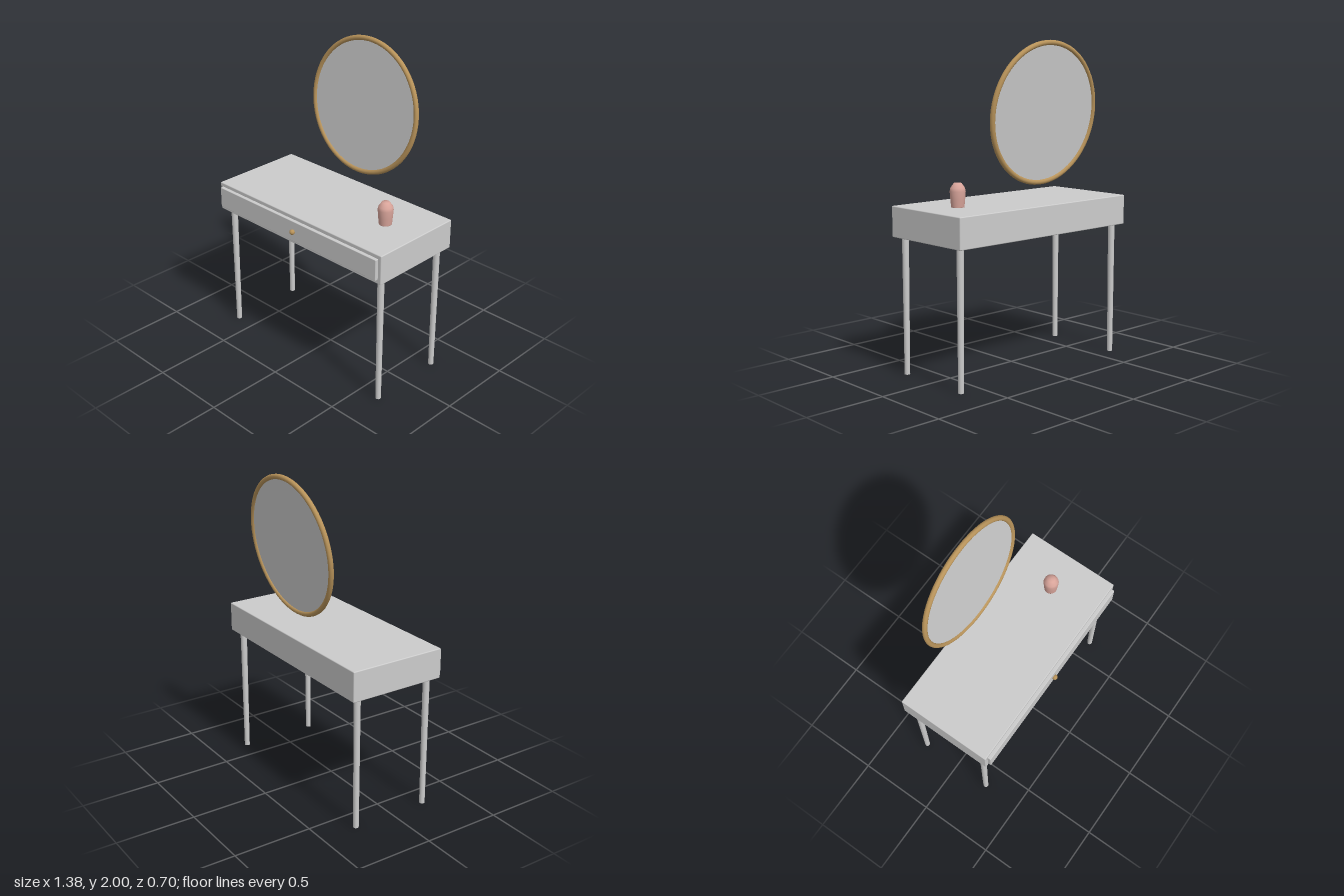
import * as THREE from 'three';
import { RoundedBoxGeometry } from 'three/addons/geometries/RoundedBoxGeometry.js';

const grey = new THREE.MeshStandardMaterial({ color: 0xcccccc });
const brass = new THREE.MeshStandardMaterial({ color: 0xb8935a });
const blush = new THREE.MeshStandardMaterial({ color: 0xd8a49a });

const BODY_Z = -0.01;      // centre of the table in depth
const BODY_BOTTOM = 0.84;
const BODY_TOP = 1.028;

function add(parent, name, geometry, material, x = 0, y = 0, z = 0) {
  const mesh = new THREE.Mesh(geometry, material);
  mesh.name = name;
  mesh.position.set(x, y, z);
  parent.add(mesh);
  return mesh;
}

export function createModel() {
  const model = new THREE.Group();
  model.name = 'dressingTable';

  // Table body
  const bodyHeight = BODY_TOP - BODY_BOTTOM;
  add(model, 'tableBody', new RoundedBoxGeometry(1.38, bodyHeight, 0.623, 2, 0.006), grey,
    0, BODY_BOTTOM + bodyHeight / 2, BODY_Z);

  // Drawer front, standing proud of the body, with its round knob
  add(model, 'drawerFront', new RoundedBoxGeometry(1.334, 0.135, 0.03, 2, 0.004), grey, 0, 0.936, 0.308);
  add(model, 'drawerKnob', new THREE.SphereGeometry(0.017, 20, 14), brass, 0, 0.935, 0.331);

  // Four slim legs, tapering to the floor
  const legGeometry = new THREE.CylinderGeometry(0.021, 0.017, BODY_BOTTOM + 0.005, 16);
  for (const [side, sx] of [['Left', 1], ['Right', -1]]) {
    for (const [end, sz] of [['front', 1], ['back', -1]]) {
      add(model, `${end}${side}Leg`, legGeometry, grey,
        sx * 0.638, (BODY_BOTTOM + 0.005) / 2, BODY_Z + sz * 0.25);
    }
  }

  // Round mirror, leaning back
  const mirror = new THREE.Group();
  mirror.name = 'mirror';
  mirror.position.set(0, 1.5725, -0.288);
  mirror.rotation.x = -0.109;
  add(mirror, 'mirrorFrame', new THREE.TorusGeometry(0.4145, 0.0155, 14, 72), brass);
  const glass = add(mirror, 'mirrorGlass', new THREE.CylinderGeometry(0.412, 0.412, 0.008, 64), grey);
  glass.rotation.x = Math.PI / 2;
  model.add(mirror);

  // Small vase on the table top
  const profile = [
    [0, 0], [0.039, 0], [0.0395, 0.002], [0.044, 0.05], [0.0475, 0.095],
    [0.043, 0.115], [0.023, 0.143], [0, 0.143],
  ].map(([r, y]) => new THREE.Vector2(r, y));
  add(model, 'vase', new THREE.LatheGeometry(profile, 32), blush, 0.441, BODY_TOP, -0.01);

  return model;
}
